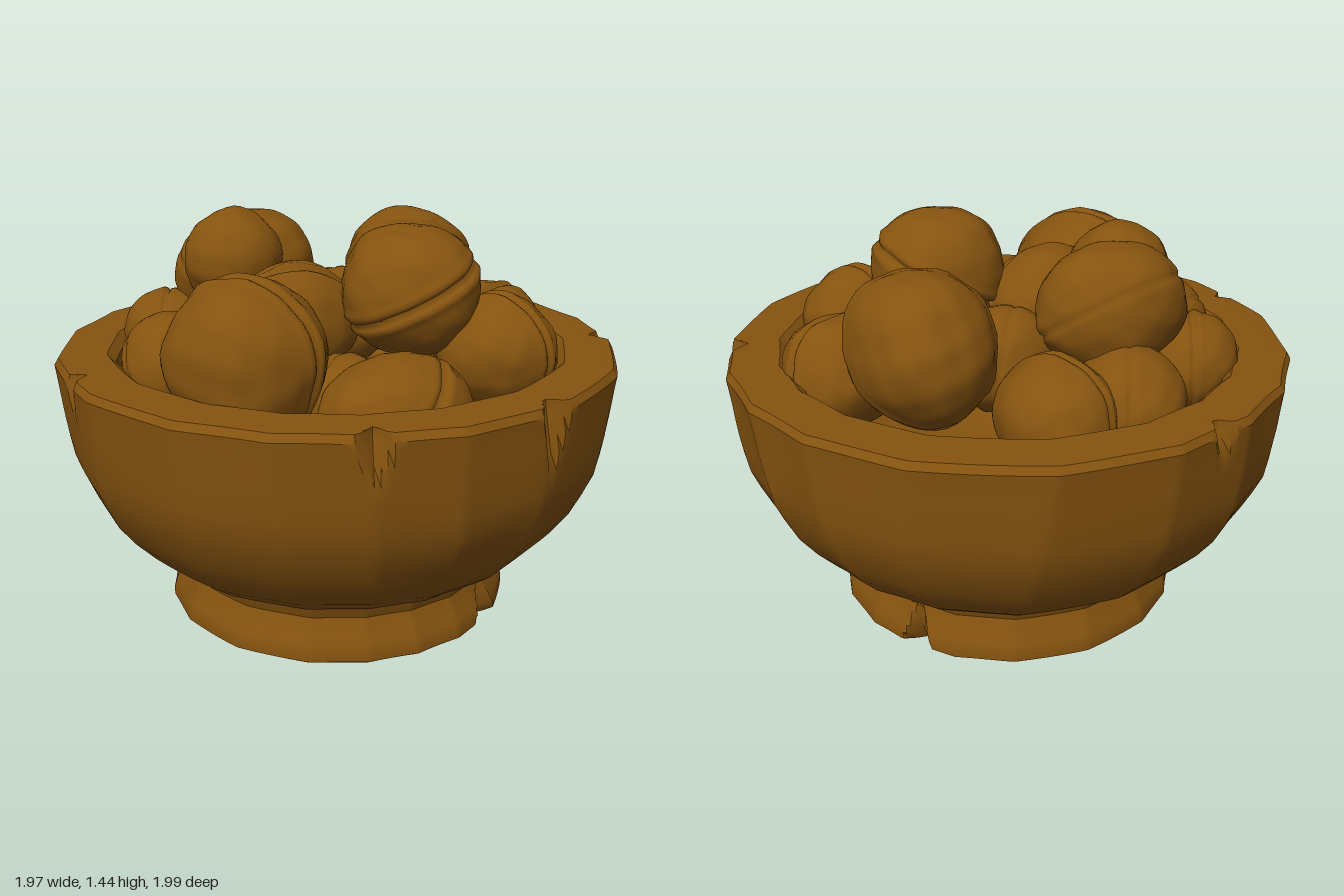
import * as THREE from 'three';
import { mergeVertices, toCreasedNormals } from 'three/addons/utils/BufferGeometryUtils.js';

const brown = new THREE.MeshStandardMaterial({ name: 'nut brown', color: 0x85530f });

// Smallest angle between two directions around the y axis
const angleGap = (a, b) => Math.abs(Math.atan2(Math.sin(a - b), Math.cos(a - b)));

// Chips: [x, z] direction, lowest y reached, half width in radians
const rimChips = [
  [-0.27, -0.93, 0.8, 0.06], [-0.95, 0.02, 0.8, 0.06], [0.88, 0.36, 0.8, 0.07],
  [0.27, 0.92, 0.6, 0.08], [-0.33, 0.9, 0.77, 0.07],
];
const footChips = [[0.35, 0.53, 0.13], [0.52, -0.33, 0.11]];

// Bowl profile, from the hollow under the foot, up the outside, then down the inside
const profile = [
  [0, 0.24], [0.25, 0.22], [0.4, 0.17], [0.48, 0.1], [0.515, 0.02], [0.53, 0],
  [0.6, 0], [0.63, 0.02], [0.63, 0.05], [0.62, 0.08], [0.605, 0.11], [0.594, 0.14], [0.585, 0.165],
  [0.6, 0.205], [0.68, 0.25], [0.76, 0.31], [0.83, 0.385], [0.885, 0.46], [0.925, 0.54],
  [0.955, 0.61], [0.968, 0.68], [0.978, 0.75], [0.985, 0.81], [0.991, 0.87], [0.997, 0.925],
  [1, 0.95], [0.985, 0.975], [0.96, 0.977], [0.92, 0.977], [0.82, 0.977], [0.79, 0.95],
  [0.775, 0.88], [0.74, 0.78], [0.64, 0.65], [0.45, 0.54], [0, 0.5],
];

function bowlGeometry() {
  const geo = new THREE.LatheGeometry(profile.map(p => new THREE.Vector2(...p)), 320);
  const pos = geo.attributes.position;
  const facet = Math.PI * 2 / 18;
  for (let i = 0; i < pos.count; i++) {
    const x = pos.getX(i), y = pos.getY(i), z = pos.getZ(i);
    let r = Math.hypot(x, z);
    if (r < 0.01) continue;
    const a = Math.atan2(x, z);
    // Uneven hand-cut facets around the outside
    if (r > 0.55) {
      const b = a + 0.08 * Math.sin(a * 3 + y * 1.5) + Math.PI * 2;
      r *= Math.cos(facet / 2) / Math.cos(b % facet - facet / 2);
    }
    // Shallow gouges low on the front
    if (r > 0.6 && y > 0.22 && y < 0.75) {
      const strip = Math.abs(y - 0.46 - 0.45 * (a - 0.05));
      r -= 0.02 * Math.max(0, 1 - strip / 0.09) * Math.max(0, 1 - Math.abs(a) / 0.4);
    }
    // Notches cut into the rim
    if (r > 0.88 && y > 0.55) for (const [cx, cz, low, half] of rimChips) {
      const t = THREE.MathUtils.clamp((y - low) / (0.96 - low), 0, 1);
      const w = 1 - angleGap(a, Math.atan2(cx, cz)) / (half * (0.1 + 0.9 * t));
      if (t > 0 && w > 0) r = Math.min(r, 0.995 - 0.075 * w * t);
    }
    // Notches cut into the foot
    if (r > 0.55 && y < 0.16) for (const [cx, cz, half] of footChips) {
      const t = 1 - y / 0.17;
      const w = 1 - angleGap(a, Math.atan2(cx, cz)) / (half * (0.1 + 0.9 * t));
      if (w > 0) r -= (r - 0.54) * Math.min(1, w * 1.2) * (0.3 + 0.7 * t);
    }
    pos.setXYZ(i, Math.sin(a) * r, y, Math.cos(a) * r);
  }
  return toCreasedNormals(geo, 0.6);
}

// Lumpy nut with a split running around it, square to the seam direction
function nutGeometry(radii, seam, depth, seed) {
  let geo = new THREE.SphereGeometry(1, 44, 52);
  geo.deleteAttribute('uv');
  geo.deleteAttribute('normal');
  geo = mergeVertices(geo, 1e-4);
  const turn = new THREE.Quaternion().setFromUnitVectors(
    new THREE.Vector3(0, 1, 0), new THREE.Vector3(...seam).normalize());
  const pos = geo.attributes.position, v = new THREE.Vector3();
  for (let i = 0; i < pos.count; i++) {
    v.fromBufferAttribute(pos, i);
    const lat = Math.abs(v.y), lon = Math.atan2(v.x, v.z);
    const lump = Math.sin(v.x * 4 + seed) * Math.sin(v.y * 3 + seed * 2) +
      Math.sin(v.z * 5 + seed * 3) * Math.sin(v.x * 3 - seed);
    const dimple = Math.sin(v.x * 9 + seed) * Math.sin(v.y * 8 - seed) * Math.sin(v.z * 9 + 1);
    const groove = Math.max(0, 1 - lat / 0.07) * depth * (0.75 + 0.25 * Math.sin(lon * 2 + seed));
    const lip = 0.25 * depth * Math.max(0, 1 - Math.abs(lat - 0.12) / 0.12);
    v.multiplyScalar(1 + 0.025 * lump + 0.02 * dimple - groove + lip);
    v.applyQuaternion(turn);
    pos.setXYZ(i, v.x * radii[0], v.y * radii[1], v.z * radii[2]);
  }
  geo.computeVertexNormals();
  return geo;
}

// Nuts: centre, radii, seam direction, split depth
const nuts = [
  [[-0.47, 1.04, 0.29], [0.26, 0.27, 0.28], [0.82, 0, -0.57], 0.12],
  [[0.17, 1.19, 0.22], [0.24, 0.23, 0.25], [-0.45, 0.9, -0.15], 0.13],
  [[0.46, 1.13, -0.3], [0.23, 0.25, 0.28], [-0.35, -0.5, 0.8], 0.12],
  [[-0.2, 1.19, -0.38], [0.27, 0.22, 0.2], [0.3, 1, 0.6], 0.03],
  [[-0.29, 1.25, -0.26], [0.18, 0.185, 0.17], [0.7, 0.5, -0.6], 0.02],
  [[-0.14, 0.93, -0.59], [0.19, 0.19, 0.19], [0.9, 0, 0.5], 0.05],
  [[0.12, 0.93, -0.57], [0.19, 0.2, 0.22], [0.9, 0.2, -0.5], 0.08],
  [[-0.49, 0.95, -0.42], [0.17, 0.18, 0.18], [0.9, 0, 0.5], 0.08],
  [[-0.58, 0.93, -0.08], [0.2, 0.2, 0.2], [0.2, 0.6, 0.7], 0.04],
  [[-0.19, 1.07, 0.02], [0.25, 0.21, 0.19], [-0.2, -0.3, 0.9], 0.11],
  [[0.13, 1, -0.22], [0.19, 0.19, 0.19], [0.8, 0.2, 0.5], 0.03],
  [[0.61, 0.94, 0.05], [0.21, 0.2, 0.2], [0.3, -0.2, 0.9], 0.1],
  [[0.42, 0.98, 0.4], [0.21, 0.2, 0.2], [0.9, 0, -0.4], 0.12],
  [[-0.07, 0.88, 0.57], [0.26, 0.2, 0.2], [0.9, -0.6, 0.1], 0.09],
  [[-0.12, 0.85, 0.3], [0.18, 0.16, 0.17], [0.5, 0.2, 0.8], 0.05],
];

export function createModel() {
  const model = new THREE.Group();
  model.name = 'bowlOfNuts';
  const bowl = new THREE.Mesh(bowlGeometry(), brown);
  bowl.name = 'bowl';
  model.add(bowl);

  const pile = new THREE.Group();
  pile.name = 'nuts';
  nuts.forEach(([centre, radii, seam, depth], i) => {
    const nut = new THREE.Mesh(nutGeometry(radii, seam, depth, i * 1.7 + 0.5), brown);
    nut.name = 'nut' + (i + 1);
    nut.position.set(...centre);
    pile.add(nut);
  });
  model.add(pile);
  return model;
}
